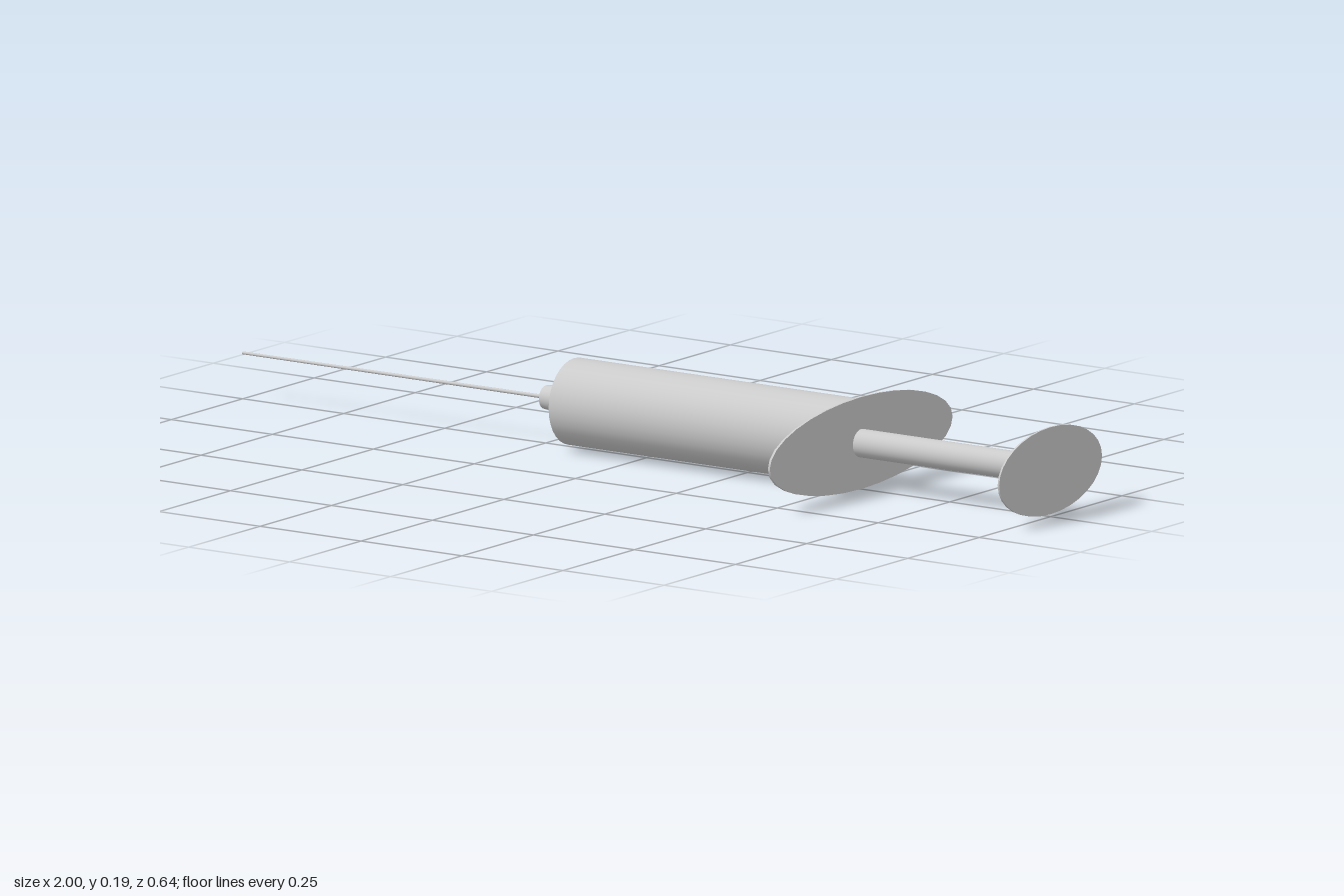
import * as THREE from 'three';

const AXIS_Y = 0.095;

export function createModel() {
  const model = new THREE.Group();
  const material = new THREE.MeshStandardMaterial({ color: 0xcccccc });

  // Round part along x from x0 (radius r0) to x1 (radius r1); zScale stretches it to an ellipse
  function addRound(name, x0, x1, r0, r1, segments = 32, zScale = 1) {
    const geometry = new THREE.CylinderGeometry(r1, r0, x1 - x0, segments);
    geometry.rotateZ(-Math.PI / 2);
    geometry.scale(1, 1, zScale);
    const mesh = new THREE.Mesh(geometry, material);
    mesh.name = name;
    mesh.position.set((x0 + x1) / 2, AXIS_Y, 0);
    model.add(mesh);
  }

  // Needle and its hub
  addRound('needle', -1, -0.24, 0.003, 0.004, 16);
  addRound('needleHub', -0.25, -0.18, 0.024, 0.032);

  // Barrel with oval finger flange
  addRound('barrel', -0.18, 0.528, 0.089, 0.089);
  addRound('fingerFlange', 0.526, 0.531, 0.095, 0.095, 32, 0.32 / 0.095);

  // Plunger with oval thumb rest
  addRound('plungerRod', 0.53, 0.998, 0.029, 0.029);
  addRound('thumbRest', 0.996, 1, 0.09, 0.09, 32, 2);

  return model;
}
